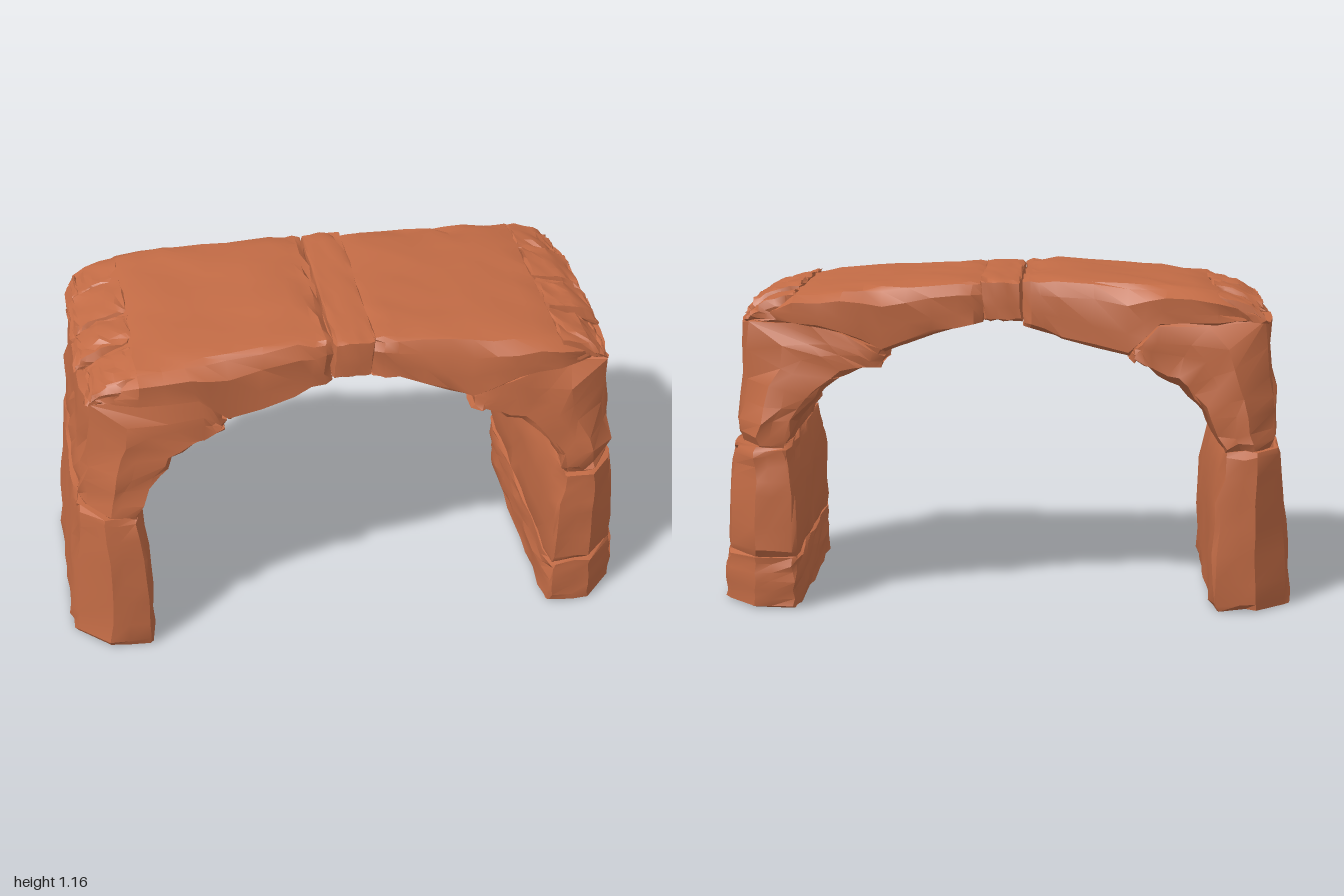
import * as THREE from 'three';
import { toCreasedNormals } from 'three/addons/utils/BufferGeometryUtils.js';

const sandstone = new THREE.MeshStandardMaterial({ color: 0xc26b45 });
sandstone.name = 'sandstone';

// Repeatable value from 0 to 1 for a grid point of a stone
function hash(i, j, k, seed) {
  const s = Math.sin(i * 127.1 + j * 311.7 + k * 74.7 + seed * 53.3) * 43758.5453;
  return s - Math.floor(s);
}

// A hewn stone. Each row is [innerX, innerY, outerX, outerY, half depth, share of depth at the outer face].
function stone(name, rows, seed, { zMid = 0, rough = 0.012, nz = 10, knee = 0.55 } = {}) {
  const across = [0, 0.08, 0.35, knee, 0.92, 1];
  const along = [0, 0.04];
  const n = rows.length - 1;
  const steps = n * (n < 3 ? 3 : 2);
  for (let i = 1; i < steps; i++) along.push(i / steps);
  along.push(0.96, 1);
  const nx = across.length - 1, ny = along.length - 1;

  // Flip the depth axis where the rows run the other way round
  const a = rows[0], b = rows[1];
  const turn = (a[2] - a[0]) * (b[1] - a[1]) - (a[3] - a[1]) * (b[0] - a[0]);
  const flip = turn < 0 ? -1 : 1;

  const box = new THREE.BoxGeometry(nx, ny, nz, nx, ny, nz);
  const p = box.attributes.position;
  for (let v = 0; v < p.count; v++) {
    const i = Math.round(p.getX(v) + nx / 2);
    const j = Math.round(p.getY(v) + ny / 2);
    const k = Math.round(p.getZ(v) + nz / 2);
    const t = along[j] * n, r = Math.min(Math.floor(t), n - 1);
    const row = rows[r].map((c, q) => c + (rows[r + 1][q] - c) * (t - r));
    let u = across[i];
    let w = (k / nz) * 2 - 1;

    // Taper towards the outer face, then soften the edges
    const taper = u > knee ? 1 + (row[5] - 1) * (u - knee) / (1 - knee) : 1;
    const edgeU = i === 0 || i === nx, edgeV = j === 0 || j === ny, edgeW = k === 0 || k === nz;
    const edges = edgeU + edgeV + edgeW;
    if (edges > 1 && edgeU) u += (u < 0.5 ? 1 : -1) * 0.035;
    let z = w * row[4] * taper;
    if (edges > 1 && edgeW) z -= Math.sign(w) * 0.012;

    // Weathering, with a few deeper chips along the edges
    const h = (m) => hash(i, j, k, seed + m) - 0.5;
    const chip = edges > 1 && hash(i, j, k, seed + 9) < 0.16 ? 0.025 : 0;
    u += (u < 0.5 ? 1 : -1) * chip * 2;
    z -= Math.sign(w) * chip * 0.6;
    const x = row[0] + (row[2] - row[0]) * u + h(1) * rough;
    const y = row[1] + (row[3] - row[1]) * u + h(2) * rough;
    p.setXYZ(v, x, Math.max(0, y), zMid + flip * (z + h(3) * rough));
  }
  const mesh = new THREE.Mesh(toCreasedNormals(box, 0.5), sandstone);
  mesh.name = name;
  return mesh;
}

export function createModel() {
  const arch = new THREE.Group();
  arch.name = 'stoneArch';

  // Legs: one tall block on the right side, a foot and a block on the left
  arch.add(stone('rightLeg', [
    [-0.71, 0, -1.0, 0, 0.475, 0.72],
    [-0.705, 0.2, -0.985, 0.2, 0.48, 0.73],
    [-0.715, 0.38, -0.97, 0.38, 0.48, 0.73],
    [-0.745, 0.56, -0.95, 0.56, 0.475, 0.74],
  ], 1));
  arch.add(stone('leftFoot', [
    [0.705, 0, 0.995, 0, 0.475, 0.7],
    [0.705, 0.1, 0.995, 0.1, 0.485, 0.72],
    [0.71, 0.185, 0.98, 0.185, 0.48, 0.73],
  ], 2));
  arch.add(stone('leftLeg', [
    [0.71, 0.18, 0.98, 0.18, 0.48, 0.73],
    [0.71, 0.4, 0.97, 0.4, 0.485, 0.73],
    [0.73, 0.5, 0.96, 0.5, 0.48, 0.73],
    [0.745, 0.565, 0.945, 0.565, 0.475, 0.74],
  ], 3));

  // Shoulders that lean inward over the legs
  arch.add(stone('rightShoulder', [
    [-0.74, 0.55, -0.935, 0.56, 0.47, 0.76],
    [-0.69, 0.67, -0.94, 0.68, 0.465, 0.77],
    [-0.63, 0.74, -0.92, 0.82, 0.455, 0.8],
    [-0.57, 0.79, -0.905, 1.01, 0.45, 0.86],
    [-0.5, 0.83, -0.52, 1.01, 0.44, 0.98],
    [-0.43, 0.865, -0.44, 0.9, 0.43, 1],
  ], 4, { rough: 0.022 }));
  arch.add(stone('leftShoulder', [
    [0.755, 0.555, 0.92, 0.56, 0.465, 0.76],
    [0.72, 0.65, 0.94, 0.65, 0.47, 0.77],
    [0.65, 0.73, 0.915, 0.8, 0.455, 0.8],
    [0.57, 0.79, 0.91, 1.0, 0.45, 0.86],
    [0.5, 0.825, 0.68, 1.0, 0.44, 0.97],
    [0.42, 0.845, 0.43, 0.91, 0.43, 1],
  ], 5, { rough: 0.022 }));

  // Roof slabs, from the middle outwards
  arch.add(stone('rightRoofSlab', [
    [-0.06, 0.975, -0.06, 1.135, 0.375, 0.97],
    [-0.2, 0.925, -0.17, 1.15, 0.39, 0.93],
    [-0.42, 0.875, -0.42, 1.13, 0.42, 0.9],
    [-0.52, 0.985, -0.56, 1.12, 0.44, 0.88],
    [-0.72, 0.99, -0.72, 1.1, 0.44, 0.86],
    [-0.87, 0.995, -0.85, 1.03, 0.38, 0.93],
  ], 6, { knee: 0.7 }));
  arch.add(stone('leftRoofSlab', [
    [0.08, 0.98, 0.08, 1.13, 0.375, 0.97],
    [0.25, 0.945, 0.25, 1.13, 0.395, 0.93],
    [0.42, 0.885, 0.42, 1.12, 0.42, 0.9],
    [0.56, 0.955, 0.56, 1.11, 0.44, 0.88],
    [0.72, 0.985, 0.72, 1.09, 0.44, 0.86],
    [0.86, 0.995, 0.85, 1.03, 0.38, 0.93],
  ], 7, { knee: 0.7 }));

  // Keystone
  arch.add(stone('keystone', [
    [-0.06, 0.99, -0.05, 1.135, 0.38, 0.98],
    [0.01, 0.99, 0.02, 1.138, 0.385, 0.98],
    [0.07, 0.99, 0.09, 1.135, 0.38, 0.98],
  ], 8, { rough: 0.006 }));

  // Worn kerb stones along both ends of the roof
  const joints = [-0.41, -0.23, 0.01, 0.2, 0.41];
  for (const side of [-1, 1]) {
    for (let i = 0; i < joints.length - 1; i++) {
      const half = (joints[i + 1] - joints[i]) / 2 - 0.002;
      const end = i === 0 || i === joints.length - 2 ? 0.02 : 0;
      arch.add(stone(side < 0 ? 'rightKerbStone' : 'leftKerbStone', [
        [side * 0.72, 1.0, side * 0.72, 1.105 - end / 2, half, 0.9],
        [side * 0.82, 1.0, side * 0.82, 1.085 - end, half, 0.9],
        [side * (0.915 - end), 0.995, side * (0.89 - end), 1.045 - end, half, 0.86],
      ], 20 + i + side * 5, { zMid: (joints[i] + joints[i + 1]) / 2, nz: 4, rough: 0.012 }));
    }
  }
  return arch;
}
